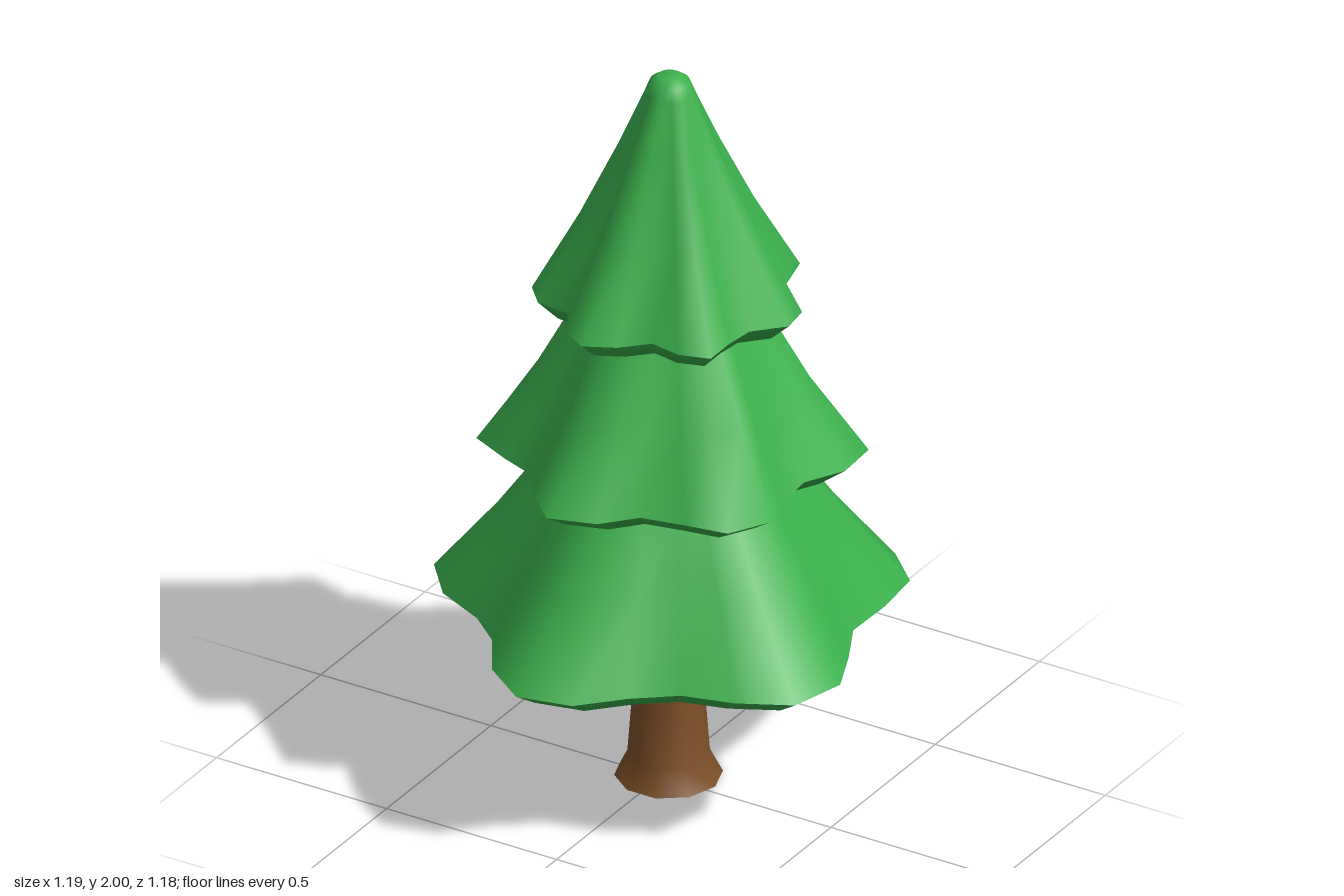
import * as THREE from 'three';
import { mergeGeometries } from 'three/addons/utils/BufferGeometryUtils.js';

// The trunk axis sits slightly off the origin
const AXIS_X = 0.006, AXIS_Z = -0.033;

// Lobed rim outlines as [x, z] pairs, clockwise seen from above
const LOWER_RIM = [
  [-0.345, -0.545], [-0.205, -0.59], [-0.05, -0.545], [0.07, -0.515], [0.2, -0.537], [0.36, -0.537],
  [0.465, -0.437], [0.48, -0.29], [0.477, -0.145], [0.54, -0.02], [0.595, 0.11], [0.555, 0.26],
  [0.42, 0.33], [0.285, 0.367], [0.18, 0.45], [0.08, 0.555], [-0.065, 0.588], [-0.19, 0.5],
  [-0.27, 0.37], [-0.36, 0.295], [-0.5, 0.23], [-0.597, 0.115], [-0.575, -0.03], [-0.48, -0.155],
  [-0.42, -0.26], [-0.407, -0.4],
];
const MIDDLE_RIM = [
  [0.07, -0.525], [0.165, -0.445], [0.23, -0.345], [0.335, -0.315], [0.45, -0.263], [0.457, -0.14],
  [0.4, -0.035], [0.41, 0.09], [0.435, 0.185], [0.375, 0.29], [0.26, 0.31], [0.145, 0.335],
  [0.07, 0.42], [-0.055, 0.46], [-0.15, 0.37], [-0.21, 0.285], [-0.3, 0.255], [-0.42, 0.2],
  [-0.44, 0.08], [-0.385, -0.03], [-0.385, -0.13], [-0.415, -0.25], [-0.355, -0.355], [-0.225, -0.37],
  [-0.125, -0.395], [-0.05, -0.485],
];
const UPPER_RIM = [
  [-0.12, -0.365], [-0.03, -0.345], [0.04, -0.305], [0.12, -0.34], [0.21, -0.325], [0.235, -0.22],
  [0.27, -0.145], [0.345, -0.115], [0.355, -0.035], [0.285, 0.04], [0.275, 0.12], [0.275, 0.21],
  [0.195, 0.235], [0.11, 0.22], [0.045, 0.285], [-0.035, 0.325], [-0.11, 0.28], [-0.15, 0.2],
  [-0.245, 0.19], [-0.3, 0.13], [-0.275, 0.035], [-0.28, -0.04], [-0.335, -0.12], [-0.285, -0.19],
  [-0.2, -0.215], [-0.16, -0.29],
];

// Smooth band through rings [y, rim scale, circle radius, blend towards the circle]
function loft(rim, rings) {
  const n = rim.length, positions = [], indices = [];
  rings.forEach(([y, scale, radius = 0, blend = 0], r) => {
    rim.forEach(([px, pz], i) => {
      const dx = px - AXIS_X, dz = pz - AXIS_Z;
      const k = THREE.MathUtils.lerp(scale, radius / Math.hypot(dx, dz), blend);
      positions.push(AXIS_X + dx * k, y, AXIS_Z + dz * k);
      if (r === 0) return;
      const j = (i + 1) % n, a = (r - 1) * n, b = r * n;
      indices.push(a + j, a + i, b + i, a + j, b + i, b + j);
    });
  });
  const geometry = new THREE.BufferGeometry();
  geometry.setAttribute('position', new THREE.Float32BufferAttribute(positions, 3));
  geometry.setIndex(indices);
  geometry.computeVertexNormals();
  return geometry;
}

// Tier: hollowed underside running into a bevelled lip, sharp rim, draped skirt
function tier(name, rim, rimY, lipScale, hollow, skirt, material) {
  const lipY = rimY - 0.05;
  const mesh = new THREE.Mesh(mergeGeometries([
    loft(rim, [
      [lipY + hollow, 0], [lipY + hollow * 0.76, lipScale - 0.18], [lipY, lipScale], [rimY, 1],
    ]),
    loft(rim, [[rimY, 1], ...skirt]),
  ]), material);
  mesh.name = name;
  return mesh;
}

export function createModel() {
  const tree = new THREE.Group();
  tree.name = 'pineTree';
  const green = new THREE.MeshStandardMaterial({ color: 0x3bb14d });
  green.name = 'needleGreen';
  const brown = new THREE.MeshStandardMaterial({ color: 0x7e5028 });
  brown.name = 'barkBrown';

  // Trunk with a flared foot
  const trunk = new THREE.Group();
  trunk.name = 'trunk';
  trunk.position.set(AXIS_X, 0, -0.027);
  trunk.rotation.y = Math.PI / 10;
  const profile = [[0.137, 0], [0.104, 0.065], [0.094, 0.2], [0.083, 0.46], [0.078, 0.56]];
  const bark = new THREE.Mesh(
    new THREE.LatheGeometry(profile.map(([r, y]) => new THREE.Vector2(r, y)), 10), brown);
  bark.name = 'bark';
  const base = new THREE.Mesh(new THREE.CircleGeometry(0.137, 10), brown);
  base.name = 'trunkBase';
  base.rotation.set(Math.PI / 2, 0, Math.PI / 2);
  trunk.add(bark, base);

  // Foliage tiers, lobes fading towards the top of each
  tree.add(
    trunk,
    tier('lowerFoliage', LOWER_RIM, 0.49, 0.88, 0.075,
      [[0.7, 0.75, 0.42, 0.3], [0.92, 0.51, 0.285, 0.6], [1.0, 0.42, 0.23, 0.8]], green),
    tier('middleFoliage', MIDDLE_RIM, 0.945, 0.85, 0.055,
      [[1.15, 0.73, 0.32, 0.3], [1.35, 0.51, 0.225, 0.6], [1.42, 0.42, 0.18, 0.8]], green),
    tier('upperFoliage', UPPER_RIM, 1.38, 0.85, 0.045,
      [[1.6, 0.67, 0.205, 0.25], [1.8, 0.39, 0.125, 0.5], [1.955, 0.2, 0.063, 1],
        [1.985, 0.15, 0.051, 1], [2.0, 0.1, 0.03, 1], [2.0, 0, 0, 1]], green),
  );
  return tree;
}
